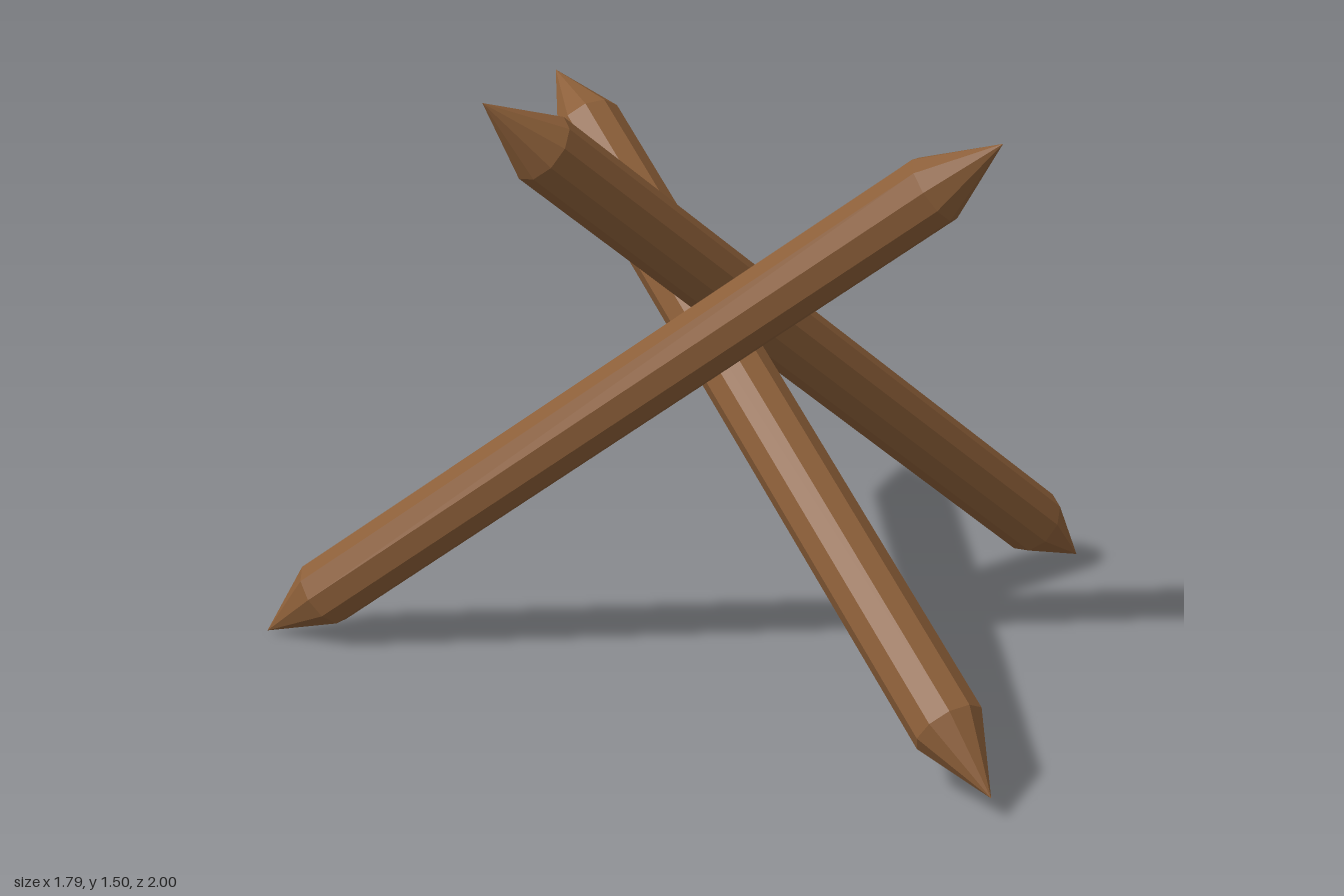
import * as THREE from 'three';

const RADIUS = 0.087;
const TIP = 0.196;

export function createModel() {
  const group = new THREE.Group();
  group.name = 'stakeBarricade';
  const wood = new THREE.MeshStandardMaterial({ color: 0x8b5e38, flatShading: true });
  wood.name = 'brown wood';

  // A faceted log sharpened at both ends, running from one point to another
  function addStake(name, from, to) {
    const a = new THREE.Vector3(...from);
    const b = new THREE.Vector3(...to);
    const half = a.distanceTo(b) / 2;
    const profile = [
      [0, -half], [RADIUS, TIP - half], [RADIUS, half - TIP], [0, half],
    ].map(([r, y]) => new THREE.Vector2(r, y));
    const stake = new THREE.Mesh(new THREE.LatheGeometry(profile, 10), wood);
    stake.name = name;
    stake.position.copy(a).add(b).multiplyScalar(0.5);
    stake.quaternion.setFromUnitVectors(new THREE.Vector3(0, 1, 0), b.sub(a).normalize());
    group.add(stake);
  }

  // Three stakes crossing one another
  addStake('leftFootStake', [0.89, 0, 0.18], [-0.815, 1.5, -0.22]);
  addStake('backFootStake', [-0.895, 0.005, -1], [0.028, 1.387, 0.6]);
  addStake('frontFootStake', [-0.46, 0.053, 1], [0.025, 1.307, -0.873]);

  return group;
}
